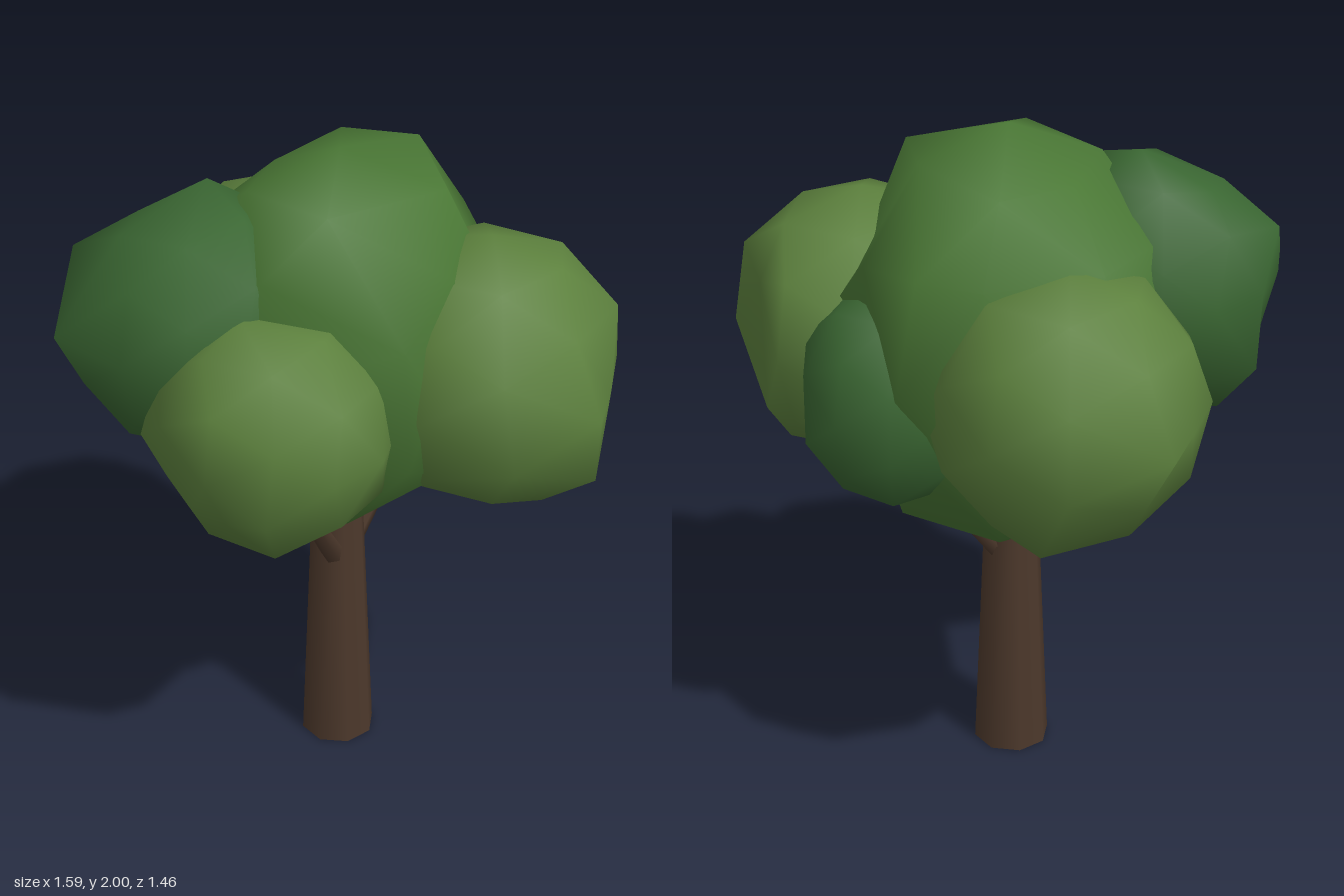
import * as THREE from 'three';
import { mergeVertices } from 'three/addons/utils/BufferGeometryUtils.js';

const bark = new THREE.MeshStandardMaterial({ color: 0x4c382b });
const leafMid = new THREE.MeshStandardMaterial({ color: 0x4a7735 });
const leafLight = new THREE.MeshStandardMaterial({ color: 0x5c803d });
const leafDark = new THREE.MeshStandardMaterial({ color: 0x3a6632 });

// Small seeded generator for the uneven foliage
function seeded(seed) {
  let s = seed * 7919 + 17;
  return () => (s = (s * 16807) % 2147483647) / 2147483647;
}

// Lumpy low-poly clump with smooth normals. Axis points stay exact, the others
// bulge a little, and the point nearest to each corner is pulled onto it.
function clump(name, material, center, radii, bulge, seed, corners) {
  let geo = new THREE.IcosahedronGeometry(1, 1);
  geo.deleteAttribute('normal');
  geo.deleteAttribute('uv');
  geo = mergeVertices(geo, 1e-3);
  const rand = seeded(seed);
  const scale = new THREE.Vector3(...radii);
  const pos = geo.attributes.position;
  const points = [];
  for (let i = 0; i < pos.count; i++) {
    const v = new THREE.Vector3().fromBufferAttribute(pos, i);
    const onAxis = Math.max(Math.abs(v.x), Math.abs(v.y), Math.abs(v.z)) > 0.99;
    const k = bulge + 0.05 * rand();
    points.push(v.multiplyScalar(onAxis ? 1 : k).multiply(scale));
  }
  const origin = new THREE.Vector3(...center);
  const free = new Set(points);
  for (const corner of corners) {
    const target = new THREE.Vector3(...corner).sub(origin);
    const nearest = [...free].reduce((a, b) =>
      (b.distanceTo(target) < a.distanceTo(target) ? b : a));
    free.delete(nearest);
    nearest.copy(target);
  }
  points.forEach((p, i) => pos.setXYZ(i, p.x, p.y, p.z));
  geo.computeVertexNormals();
  const mesh = new THREE.Mesh(geo, material);
  mesh.name = name;
  mesh.position.copy(origin);
  return mesh;
}

// Tapered limb between two points
function limb(name, from, to, r0, r1, sides) {
  const a = new THREE.Vector3(...from);
  const b = new THREE.Vector3(...to);
  const dir = b.clone().sub(a);
  const mesh = new THREE.Mesh(new THREE.CylinderGeometry(r1, r0, dir.length(), sides), bark);
  mesh.name = name;
  mesh.position.copy(a).add(b).multiplyScalar(0.5);
  mesh.quaternion.setFromUnitVectors(new THREE.Vector3(0, 1, 0), dir.normalize());
  return mesh;
}

export function createModel() {
  const tree = new THREE.Group();
  tree.name = 'tree';

  // Trunk and the two branches
  tree.add(
    limb('trunk', [-0.05, 0, -0.05], [-0.05, 1.0, -0.05], 0.118, 0.075, 8),
    limb('frontBranch', [-0.035, 0.69, 0.0], [0.04, 1.13, 0.37], 0.036, 0.022, 6),
    limb('backBranch', [-0.03, 0.69, -0.1], [0.09, 1.17, -0.46], 0.036, 0.022, 6),
  );

  // Crown
  tree.add(
    clump('mainCrown', leafMid, [-0.07, 1.415, -0.13], [0.5, 0.585, 0.53], 1.02, 3, [
      // top and bottom
      [-0.04, 2.0, -0.05], [0.27, 1.92, -0.1], [0.05, 1.95, -0.36], [0.08, 1.92, 0.24],
      [-0.3, 1.885, -0.13], [-0.04, 0.83, -0.02],
      // front left side
      [0.34, 1.6, 0.28], [0.36, 1.24, 0.28],
      // back
      [-0.07, 1.7, -0.56], [0.12, 1.7, -0.53], [-0.26, 1.7, -0.53],
      [0.31, 1.58, -0.32], [0.31, 1.25, -0.34],
      [0.15, 0.95, -0.26], [-0.04, 1.12, -0.5], [0.12, 1.13, -0.48],
    ]),
    clump('leftClump', leafLight, [0.38, 1.38, -0.17], [0.4, 0.4, 0.42], 0.99, 8, [
      [0.76, 1.38, -0.17], [0.79, 1.36, -0.03], [0.69, 1.38, -0.39], [0.63, 1.25, 0.18],
      [0.58, 0.985, -0.15], [0.76, 1.13, -0.1], [0.5, 1.57, -0.5], [0.5, 1.18, -0.5],
    ]),
    clump('frontClump', leafLight, [-0.02, 1.32, 0.38], [0.35, 0.34, 0.35], 0.99, 12, [
      [0.16, 1.65, 0.4], [-0.1, 1.65, 0.4], [0.02, 0.98, 0.3], [-0.02, 1.15, 0.63],
      [0.1, 1.16, 0.62], [-0.14, 1.16, 0.62], [0.14, 1.07, 0.46], [-0.18, 1.07, 0.46],
    ]),
    clump('frontRightClump', leafDark, [-0.36, 1.53, 0.24], [0.34, 0.38, 0.36], 0.99, 21, [
      [-0.7, 1.71, 0.32], [-0.71, 1.32, 0.2], [-0.35, 1.92, 0.15],
      [-0.57, 1.15, 0.25], [-0.6, 1.55, 0.57], [-0.54, 1.81, 0.22], [-0.5, 1.8, 0.37],
    ]),
    clump('backRightClump', leafLight, [-0.4, 1.35, -0.33], [0.38, 0.39, 0.4], 0.99, 34, [
      [-0.8, 1.33, -0.47], [-0.6, 1.0, -0.33], [-0.45, 0.99, -0.55],
    ]),
    clump('backClump', leafDark, [0.1, 1.3, -0.43], [0.28, 0.33, 0.28], 0.97, 45, [
      [0.31, 1.3, -0.54],
    ]),
  );
  return tree;
}
